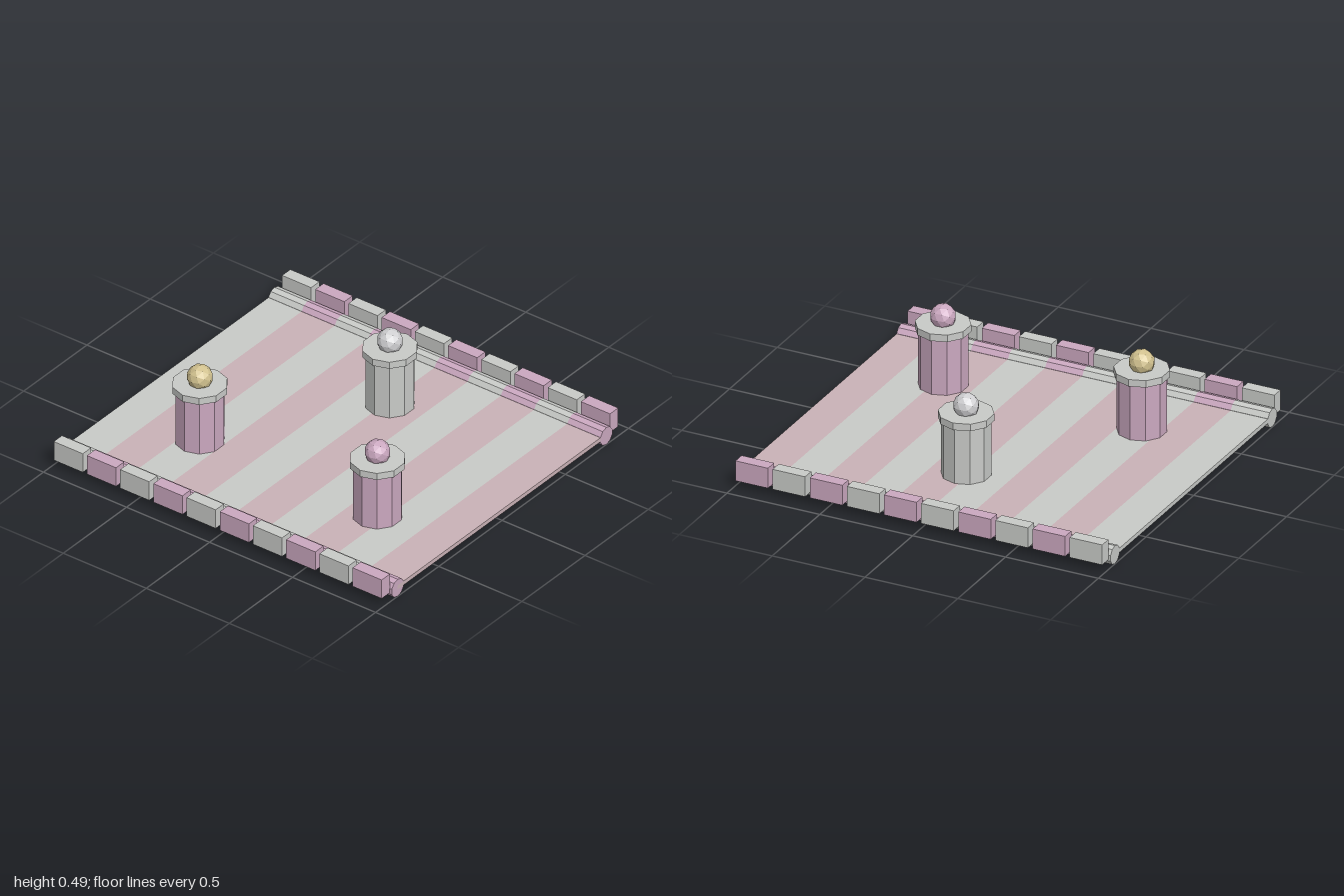
import * as THREE from 'three';

const material = (name, color) => {
  const m = new THREE.MeshStandardMaterial({ color, flatShading: true });
  m.name = name;
  return m;
};

export function createModel() {
  const group = new THREE.Group();
  group.name = 'bumperTrack';

  const grey = material('stone grey', 0xc9cbc8);
  const pink = material('mauve pink', 0xcba8c0);
  const floorPink = material('dusty rose', 0xcab2b7);
  const silver = material('silver', 0xd0d0d2);
  const gold = material('pale gold', 0xd2c28f);

  const add = (name, geometry, mat, x, y, z, parent = group) => {
    const mesh = new THREE.Mesh(geometry, mat);
    mesh.name = name;
    mesh.position.set(x, y, z);
    parent.add(mesh);
    return mesh;
  };

  // Ten striped sections: floor strip, side rails and kerb blocks
  const floorGeo = new THREE.BoxGeometry(1.65, 0.023, 0.2);
  const railGeo = new THREE.CylinderGeometry(0.049, 0.049, 0.2, 10).rotateX(Math.PI / 2);
  const kerbGeo = new THREE.BoxGeometry(0.065, 0.107, 0.175);
  for (let i = 0; i < 10; i++) {
    const z = -0.9 + i * 0.2;
    const section = new THREE.Group();
    section.name = 'section' + (i + 1);
    group.add(section);
    const odd = i % 2 === 1;
    add('floorStrip', floorGeo, odd ? floorPink : grey, 0, 0.0515, z, section);
    for (const side of [-1, 1]) {
      const label = side > 0 ? 'left' : 'right';
      add(label + 'Rail', railGeo, odd ? pink : grey, side * 0.825, 0.049, z, section);
      add(label + 'KerbBlock', kerbGeo, odd ? pink : grey, side * 0.9025, 0.0935, z, section);
    }
  }

  // Pillars with a cap and a faceted ball on top
  const bodyGeo = new THREE.CylinderGeometry(0.1225, 0.1225, 0.3, 10).rotateY(Math.PI / 2);
  const capGeo = new THREE.CylinderGeometry(0.137, 0.137, 0.037, 10).rotateY(Math.PI / 2);
  const ballGeo = new THREE.IcosahedronGeometry(0.064, 1);
  const pillars = [
    [-0.4, -0.515, pink, gold],
    [0.4, 0.02, grey, silver],
    [-0.4, 0.555, pink, pink],
  ];
  pillars.forEach(([x, z, bodyMat, ballMat], i) => {
    const pillar = new THREE.Group();
    pillar.name = 'pillar' + (i + 1);
    pillar.position.set(x, 0, z);
    group.add(pillar);
    add('pillarBody', bodyGeo, bodyMat, 0, 0.21, 0, pillar);
    add('pillarCap', capGeo, grey, 0, 0.3745, 0, pillar);
    add('pillarBall', ballGeo, ballMat, 0, 0.428, 0, pillar);
  });

  return group;
}
